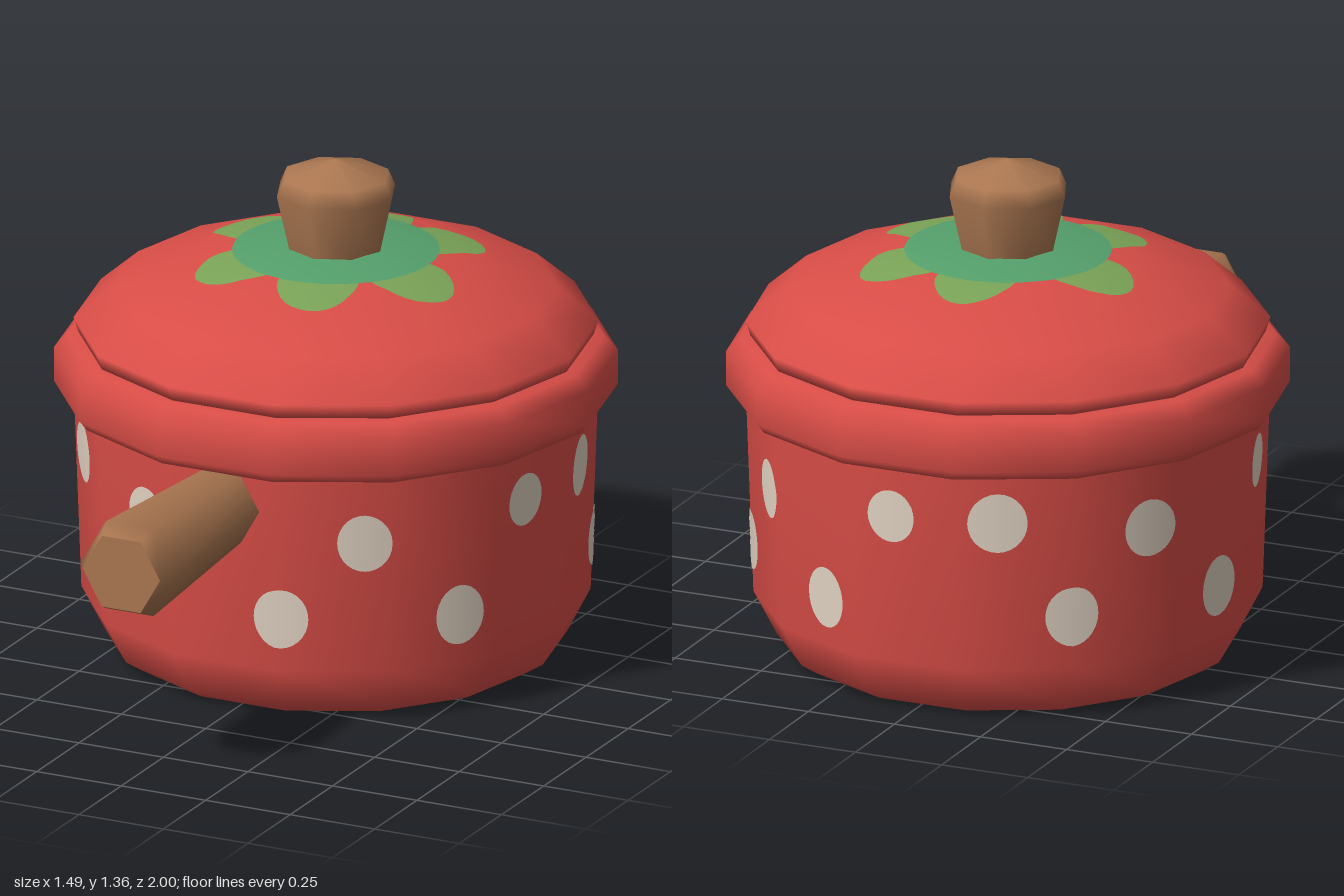
import * as THREE from 'three';

const SIDES = 14;
const POT_Z = -0.27;

const material = (name, color, side = THREE.FrontSide) => {
  const m = new THREE.MeshStandardMaterial({ color, side });
  m.name = name;
  return m;
};

// Turned part: each profile is its own smooth section, so edges between sections stay sharp
function turned(name, mat, sides, ...profiles) {
  const group = new THREE.Group();
  group.name = name;
  profiles.forEach((profile, i) => {
    const points = profile.map(([r, y]) => new THREE.Vector2(r, y));
    const mesh = new THREE.Mesh(new THREE.LatheGeometry(points, sides, Math.PI / 2), mat);
    mesh.name = `${name}Section${i + 1}`;
    group.add(mesh);
  });
  return group;
}

// How far the many-sided wall sits inside its circle at angle phi (measured from +z towards +x)
function facet(phi) {
  const step = (2 * Math.PI) / SIDES;
  const a = (((phi - Math.PI / 2) % step) + step) % step;
  return Math.cos(step / 2) / Math.cos(a - step / 2);
}

// Thin round patch of concentric rings, laid onto a surface by place(u, v) -> { point, normal }
function patch(name, mat, rx, ry, place, rings = 5, around = 28) {
  const positions = [], normals = [], index = [];
  const add = (u, v) => {
    const { point, normal } = place(u, v);
    positions.push(...point);
    normals.push(...normal);
  };
  add(0, 0);
  for (let r = 1; r <= rings; r++) {
    for (let i = 0; i < around; i++) {
      const a = (i / around) * Math.PI * 2;
      add((Math.cos(a) * rx * r) / rings, (Math.sin(a) * ry * r) / rings);
    }
  }
  for (let i = 0; i < around; i++) {
    const j = (i + 1) % around;
    index.push(0, 1 + i, 1 + j);
    for (let r = 1; r < rings; r++) {
      const a = 1 + (r - 1) * around, b = a + around;
      index.push(a + i, b + i, b + j, a + i, b + j, a + j);
    }
  }
  const geo = new THREE.BufferGeometry();
  geo.setAttribute('position', new THREE.Float32BufferAttribute(positions, 3));
  geo.setAttribute('normal', new THREE.Float32BufferAttribute(normals, 3));
  geo.setIndex(index);
  const mesh = new THREE.Mesh(geo, mat);
  mesh.name = name;
  return mesh;
}

export function createModel() {
  const red = material('red enamel', 0xd94d47);
  const brown = material('brown wood', 0xaa7650);
  const cream = material('cream spots', 0xded0c0, THREE.DoubleSide);
  const leafGreen = material('leaf green', 0x7aa357, THREE.DoubleSide);
  const deepGreen = material('deep green', 0x55a06c, THREE.DoubleSide);

  const model = new THREE.Group();
  model.name = 'saucepan';
  const pot = new THREE.Group();
  pot.name = 'pot';
  pot.position.z = POT_Z;
  model.add(pot);

  // Body, rim and lid
  const lidProfile = [[0.695, 0.905], [0.585, 1.0], [0.335, 1.09], [0, 1.12]];
  pot.add(
    turned('body', red, SIDES,
      [[0, 0], [0.565, 0]],
      [[0.565, 0], [0.612, 0.03], [0.674, 0.15], [0.694, 0.71]]),
    turned('rim', red, SIDES,
      [[0.68, 0.695], [0.725, 0.7], [0.747, 0.727], [0.747, 0.82], [0.71, 0.86], [0.64, 0.862]]),
    turned('lid', red, SIDES, [[0.6, 0.86], [0.682, 0.865], ...lidProfile]),
    turned('knob', brown, 8,
      [[0.125, 1.09], [0.165, 1.265], [0.145, 1.31], [0, 1.355]]),
  );

  // Handle, turned upright and laid along +z
  const handle = turned('handle', brown, 6,
    [[0.107, 0.36], [0.141, 0.95], [0.115, 1.0]],
    [[0.115, 1.0], [0, 1.0]]);
  handle.rotation.x = Math.PI / 2;
  handle.position.y = 0.595;
  model.add(handle);

  // Spots: angle in degrees, height, half width, half height
  const spots = [
    [33, 0.515, 0.073, 0.08], [74.5, 0.56, 0.067, 0.073], [99.5, 0.565, 0.08, 0.083],
    [135.5, 0.515, 0.075, 0.08], [177, 0.56, 0.067, 0.073], [202, 0.565, 0.08, 0.083],
    [238, 0.515, 0.074, 0.08], [282, 0.56, 0.067, 0.073], [305.5, 0.568, 0.08, 0.082],
    [338.5, 0.513, 0.073, 0.08],
    [14, 0.298, 0.075, 0.083], [56, 0.282, 0.07, 0.084], [116.5, 0.3, 0.073, 0.083],
    [158, 0.285, 0.07, 0.084], [219, 0.298, 0.074, 0.083], [261, 0.285, 0.07, 0.084],
    [321.5, 0.3, 0.07, 0.082],
  ];
  const spotGroup = new THREE.Group();
  spotGroup.name = 'spots';
  for (const [degrees, height, rx, ry] of spots) {
    spotGroup.add(patch('spot', cream, rx, ry, (u, v) => {
      const phi = THREE.MathUtils.degToRad(degrees) + u / 0.68;
      const y = height + v;
      const wall = 0.674 + ((y - 0.15) / 0.56) * 0.02;
      const r = wall * facet(phi) + 0.004;
      return {
        point: [Math.sin(phi) * r, y, Math.cos(phi) * r],
        normal: [Math.sin(phi), 0, Math.cos(phi)],
      };
    }));
  }
  pot.add(spotGroup);

  // Place a point on top of the lid, with a smooth dome normal
  const onLid = (x, z, lift) => {
    const phi = Math.atan2(x, z);
    const r = Math.hypot(x, z) / facet(phi);
    const y = r < 0.335 ? 1.12 - (r / 0.335) * 0.03 : 1.09 - ((r - 0.335) / 0.25) * 0.09;
    const n = new THREE.Vector3(x * 0.7, 1, z * 0.7).normalize();
    return { point: [x, y + lift, z], normal: n.toArray() };
  };

  // Leaf crown: six rounded petals (angle in degrees, tip radius) around a darker disc
  const petals = [[16, 0.4], [70, 0.415], [133, 0.41], [184.5, 0.385], [255, 0.405], [320, 0.4]];
  const crown = new THREE.Group();
  crown.name = 'leafCrown';
  for (const [degrees, tip] of petals) {
    const a = THREE.MathUtils.degToRad(degrees);
    const s = Math.sin(a), c = Math.cos(a);
    crown.add(patch('petal', leafGreen, 0.14, 0.108, (u, v) => {
      const along = tip - 0.14 + u;
      return onLid(s * along + c * v, c * along - s * v, 0.003);
    }));
  }
  crown.add(patch('crownDisc', deepGreen, 0.275, 0.275, (u, v) => onLid(u, -v, 0.006), 8, 42));
  pot.add(crown);

  return model;
}
